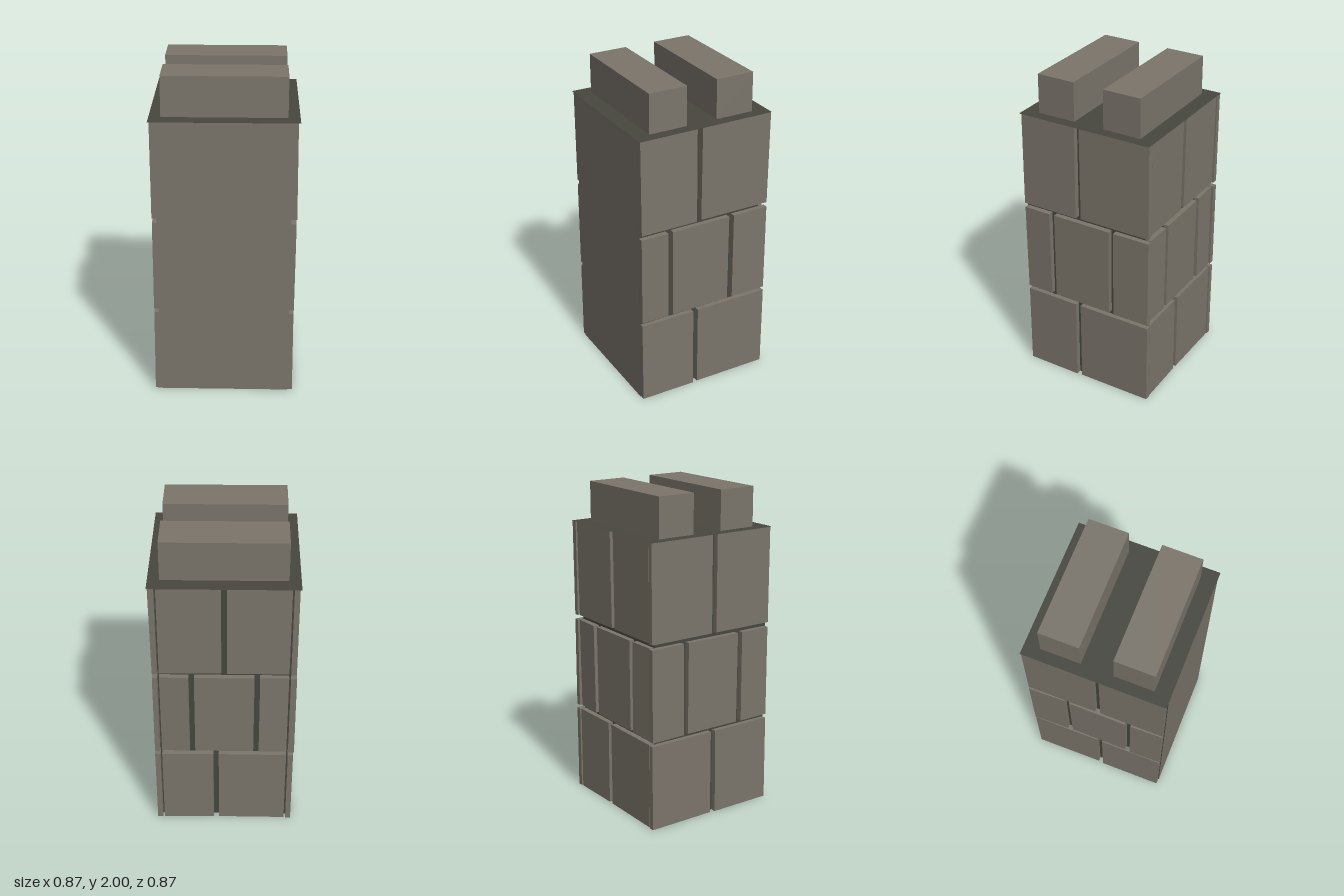
import * as THREE from 'three';

export function createModel() {
  const model = new THREE.Group();
  model.name = 'stoneTower';

  const stone = new THREE.MeshStandardMaterial({ color: 0x7b756b, side: THREE.DoubleSide });
  stone.name = 'stone';
  const mortar = new THREE.MeshStandardMaterial({ color: 0x474740, side: THREE.DoubleSide });
  mortar.name = 'mortar';

  const TOP = 1.755;      // height of the walls
  const CORE = 0.395;     // half width of the mortar core
  const OUT = 0.435;      // half width over the stones

  function add(name, geometry, material, x, y, z, parent = model) {
    const mesh = new THREE.Mesh(geometry, material);
    mesh.name = name;
    mesh.position.set(x, y, z);
    parent.add(mesh);
    return mesh;
  }

  // Hollow core, open at the bottom: plain stone front, mortar on the other sides
  const coreDepth = OUT + CORE;
  const coreZ = (OUT - CORE) / 2;
  add('frontWall', new THREE.PlaneGeometry(CORE * 2, TOP), stone, 0, TOP / 2, OUT);
  add('backWall', new THREE.PlaneGeometry(CORE * 2, TOP), mortar, 0, TOP / 2, -CORE).rotation.y = Math.PI;
  for (const s of [1, -1]) {
    add(s > 0 ? 'leftWall' : 'rightWall', new THREE.PlaneGeometry(coreDepth, TOP), mortar,
      s * CORE, TOP / 2, coreZ).rotation.y = s * Math.PI / 2;
  }

  // Thin roof sheet reaching over the stones
  add('roof', new THREE.PlaneGeometry(0.874, 0.874), mortar, 0, TOP + 0.001, 0).rotation.x = -Math.PI / 2;

  // Two battlements
  for (const s of [1, -1]) {
    add('battlement', new THREE.BoxGeometry(0.735, 2 - TOP, 0.243), stone, 0, (2 + TOP) / 2, s * 0.22);
  }

  // Seeded numbers for the uneven stone faces
  let seed = 7;
  const random = () => (seed = (seed * 16807) % 2147483647) / 2147483647;

  // One stone: its inner face lies on z = 0, its outer face is slightly tilted
  function stoneGeometry(width, height) {
    const geometry = new THREE.BoxGeometry(width, height, 1);
    const p = geometry.attributes.position;
    const depth = 0.031 + random() * 0.003;
    const tiltX = (random() - 0.5) * 0.006;
    const tiltY = (random() - 0.5) * 0.006;
    for (let i = 0; i < p.count; i++) {
      const outer = depth + Math.sign(p.getX(i)) * tiltX + Math.sign(p.getY(i)) * tiltY;
      p.setZ(i, p.getZ(i) > 0 ? outer : 0);
    }
    geometry.computeVertexNormals();
    return geometry;
  }

  // Courses of stones; seams run along each face from its left end as seen from outside
  const rows = [[0, 0.535], [0.56, 1.13], [1.16, TOP]];
  const faces = [
    { name: 'leftStones', turn: Math.PI / 2, from: -0.43, to: OUT,
      seams: [[-0.06], [-0.237, 0.182], [-0.045]] },
    { name: 'backStones', turn: Math.PI, from: -0.385, to: 0.385,
      seams: [[-0.05], [-0.195, 0.197], [0]] },
    { name: 'rightStones', turn: -Math.PI / 2, from: -OUT, to: 0.43,
      seams: [[0.015], [-0.19, 0.21], [0.015]] },
  ];
  const halfGap = 0.0165;
  for (const face of faces) {
    const group = new THREE.Group();
    group.name = face.name;
    group.rotation.y = face.turn;
    rows.forEach(([y0, y1], r) => {
      const ends = [face.from - halfGap, ...face.seams[r], face.to + halfGap];
      for (let i = 0; i < ends.length - 1; i++) {
        const a = ends[i] + halfGap, b = ends[i + 1] - halfGap;
        add('wallStone', stoneGeometry(b - a, y1 - y0), stone, (a + b) / 2, (y0 + y1) / 2, CORE, group);
      }
    });
    model.add(group);
  }

  return model;
}
